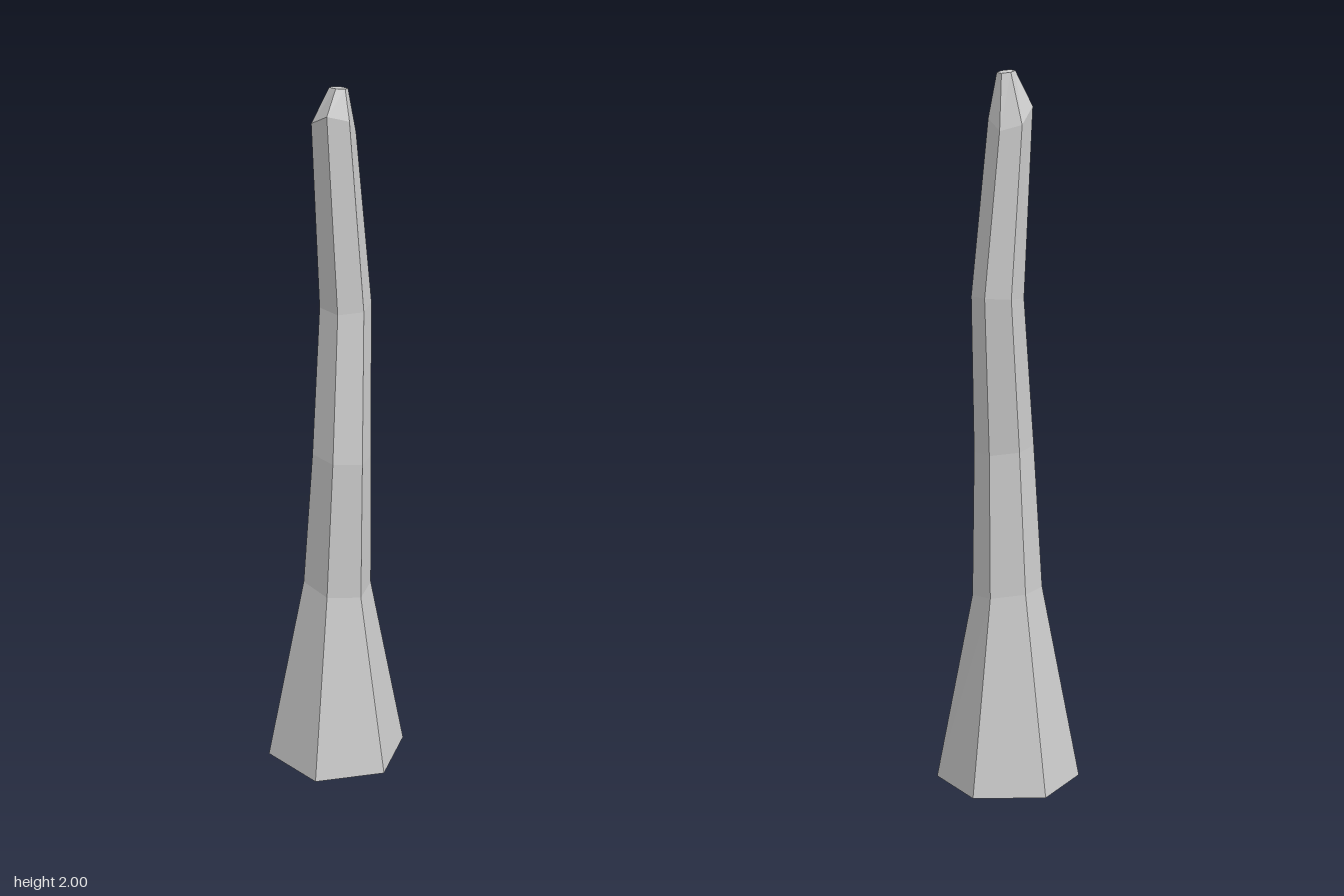
import * as THREE from 'three';

const SIDES = 6;
// Hexagonal cross-sections: centre x, y, z, radius, then tilt (rise per unit x and z)
const RINGS = [
  [0, 0, 0, 0.203, 0, 0],
  [0, 0.55, 0.004, 0.098, -0.06, -0.13],
  [0, 0.957, 0.022, 0.083, -0.1, -0.05],
  [0.032, 1.388, 0.002, 0.072, 0.06, -0.03],
  [-0.004, 1.887, -0.006, 0.06, -0.6, 0.5],
  [0.004, 1.995, 0.004, 0.025, -0.15, 0.05],
];

// Corner of a ring, with corners pointing to +z and -z
function corner([x, y, z, r, tiltX, tiltZ], i) {
  const a = (i / SIDES) * Math.PI * 2;
  const dx = Math.sin(a) * r, dz = Math.cos(a) * r;
  return [x + dx, y + dx * tiltX + dz * tiltZ, z + dz];
}

export function createModel() {
  const positions = [];
  const tri = (a, b, c) => positions.push(...a, ...b, ...c);
  const base = RINGS[0], top = RINGS[RINGS.length - 1];
  for (let i = 0; i < SIDES; i++) {
    // Faceted walls between neighbouring rings
    for (let k = 0; k < RINGS.length - 1; k++) {
      const a = corner(RINGS[k], i), b = corner(RINGS[k], i + 1);
      const c = corner(RINGS[k + 1], i + 1), d = corner(RINGS[k + 1], i);
      tri(a, b, c);
      tri(a, c, d);
    }
    // Flat caps
    tri(base.slice(0, 3), corner(base, i + 1), corner(base, i));
    tri(top.slice(0, 3), corner(top, i), corner(top, i + 1));
  }
  const geometry = new THREE.BufferGeometry();
  geometry.setAttribute('position', new THREE.Float32BufferAttribute(positions, 3));
  geometry.computeVertexNormals();

  const spire = new THREE.Mesh(geometry,
    new THREE.MeshStandardMaterial({ color: 0xcccccc, flatShading: true }));
  spire.name = 'crookedSpire';
  const group = new THREE.Group();
  group.name = 'spire';
  group.add(spire);
  return group;
}
